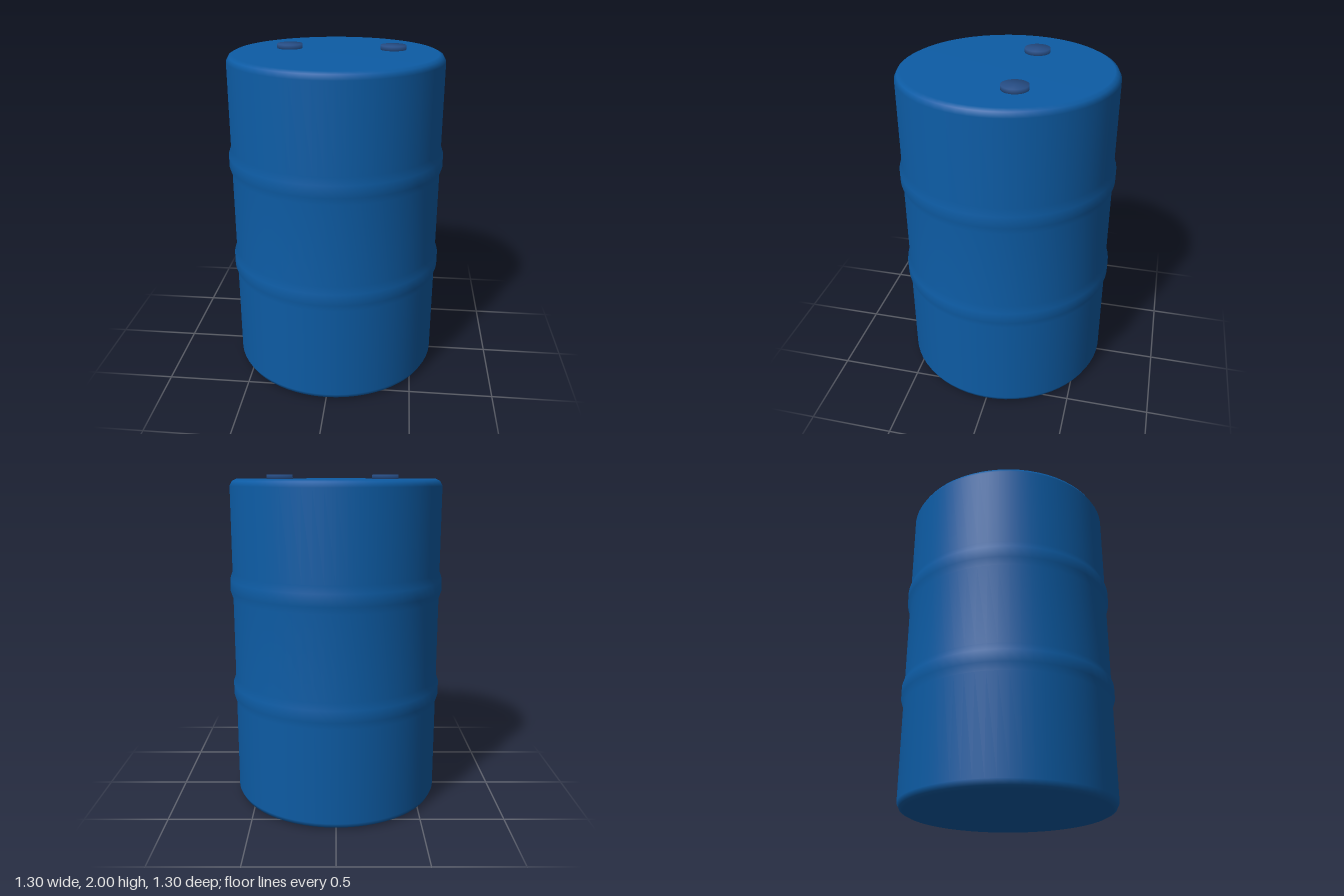
import * as THREE from 'three';

const lathe = (points, segments, material, name) => {
  const profile = points.map(([r, y]) => new THREE.Vector2(r, y));
  const mesh = new THREE.Mesh(new THREE.LatheGeometry(profile, segments), material);
  mesh.name = name;
  return mesh;
};

export function createModel() {
  const model = new THREE.Group();
  model.name = 'drum';

  const blue = new THREE.MeshStandardMaterial({ color: 0x0d5ca5 });
  blue.name = 'drum blue';
  const capBlue = new THREE.MeshStandardMaterial({ color: 0x264d85 });
  capBlue.name = 'cap blue';

  // Swollen hoop around the wall, centred at height y
  const hoop = (y) => [[0.633, y - 0.08], [0.648, y - 0.035], [0.648, y + 0.035], [0.633, y + 0.08]];

  // Drum body: closed ends, softened rims and two hoops
  const body = lathe([
    [0, 0.003], [0.595, 0.003], [0.618, 0.015], [0.633, 0.045],
    ...hoop(0.7), ...hoop(1.35),
    [0.633, 1.935], [0.618, 1.963], [0.595, 1.975], [0, 1.975],
  ], 64, blue, 'body');
  model.add(body);

  // Two bung caps behind the middle of the lid
  for (const [x, name] of [[-0.287, 'rightCap'], [0.328, 'leftCap']]) {
    const cap = lathe([[0, 0], [0.076, 0], [0.076, 0.04], [0, 0.04]], 32, capBlue, name);
    cap.position.set(x, 1.96, -0.112);
    model.add(cap);
  }

  return model;
}
